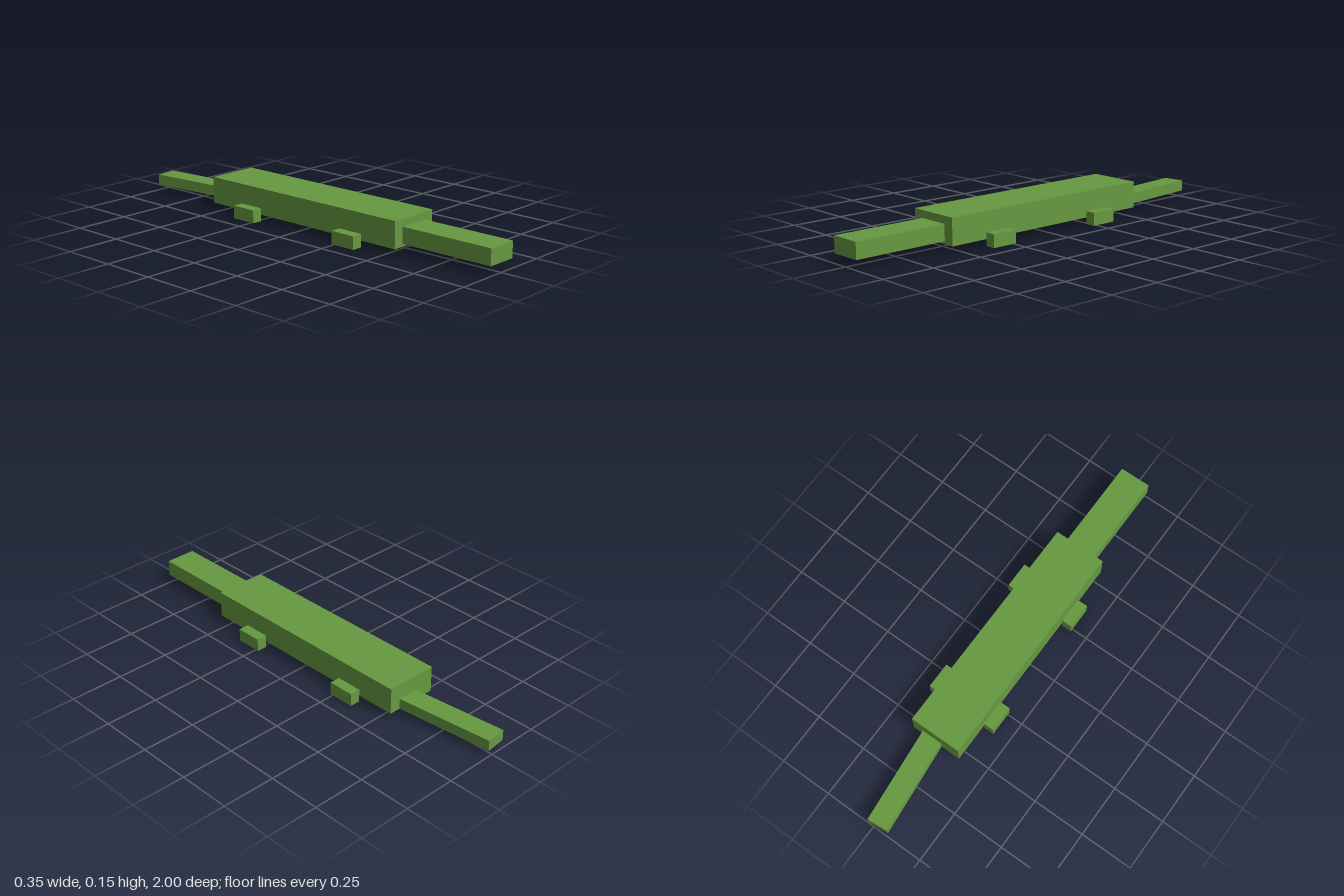
import * as THREE from 'three';

export function createModel() {
  const model = new THREE.Group();
  const green = new THREE.MeshStandardMaterial({ color: 0x669940 });
  green.name = 'green';

  // Box part given by its size and centre
  const addBox = (name, size, centre) => {
    const mesh = new THREE.Mesh(new THREE.BoxGeometry(...size), green);
    mesh.name = name;
    mesh.position.set(...centre);
    model.add(mesh);
    return mesh;
  };

  // Long flat trunk and snout
  addBox('body', [0.248, 0.123, 1.094], [0, 0.0915, 0]);
  addBox('snout', [0.148, 0.075, 0.453], [0, 0.0805, 0.7735]);

  // Tail, swung slightly to the side
  const tail = addBox('tail', [0.099, 0.05, 0.5], [0, 0.055, -0.747]);
  tail.rotation.y = 0.1;

  // Four stubby legs against the flanks
  for (const [side, sx] of [['Left', 1], ['Right', -1]]) {
    for (const [end, sz] of [['front', 1], ['back', -1]]) {
      addBox(`${end}${side}Leg`, [0.05, 0.06, 0.124], [sx * 0.149, 0.03, sz * 0.299]);
    }
  }
  return model;
}
